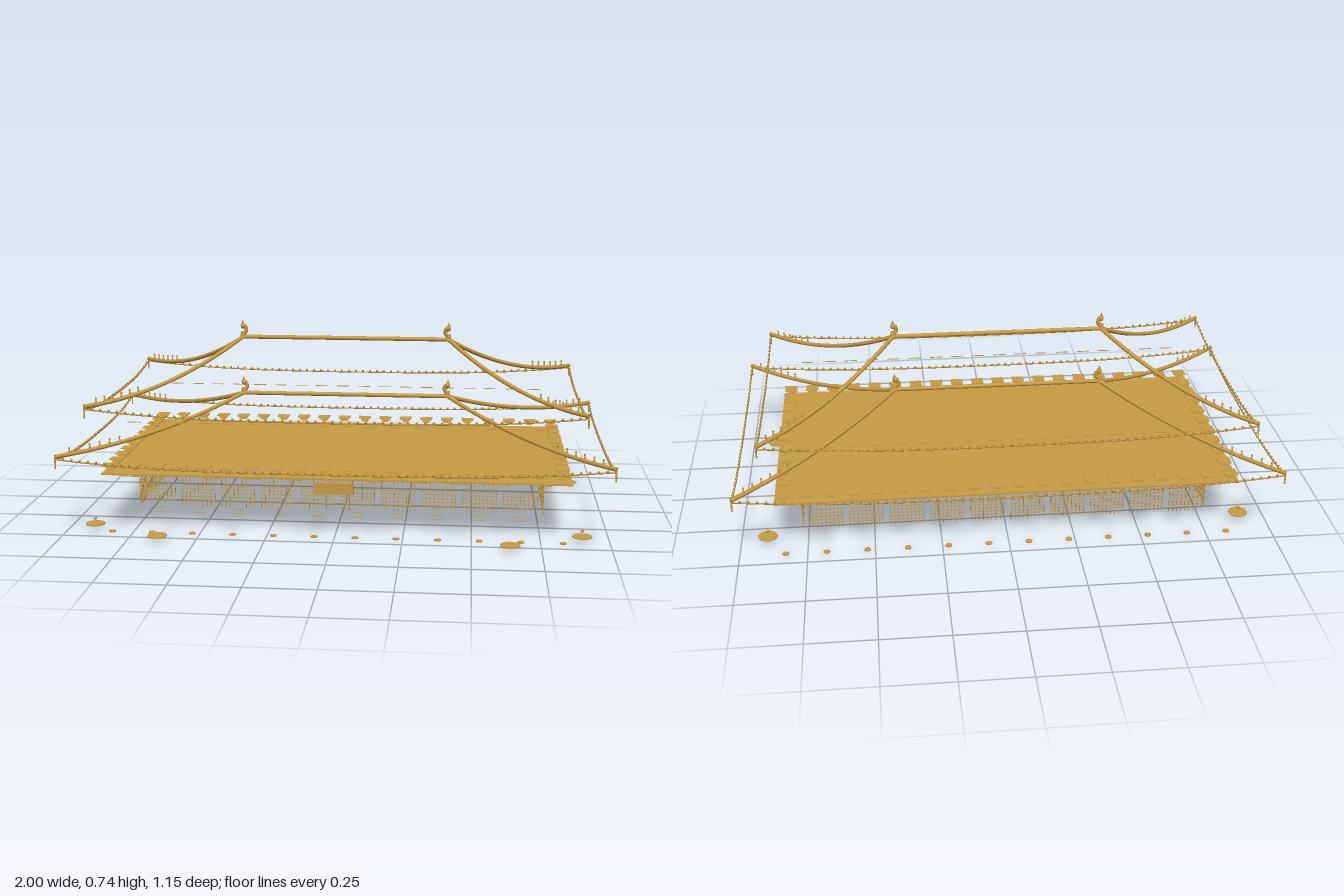
import * as THREE from 'three';

const gold = new THREE.MeshStandardMaterial({ color: 0xc89b45, side: THREE.DoubleSide });
gold.name = 'gilded trim';

const V = (x, y, z) => new THREE.Vector3(x, y, z);

function add(parent, name, geometry, x = 0, y = 0, z = 0) {
  const mesh = new THREE.Mesh(geometry, gold);
  mesh.name = name;
  mesh.position.set(x, y, z);
  parent.add(mesh);
  return mesh;
}

function addGroup(parent, name) {
  const group = new THREE.Group();
  group.name = name;
  parent.add(group);
  return group;
}

function tube(points, radius, segments = 32, sides = 8) {
  return new THREE.TubeGeometry(new THREE.CatmullRomCurve3(points), segments, radius, sides);
}

// Curled ridge ornament; side is +1 or -1
function ridgeFinial(parent, side, y) {
  const g = addGroup(parent, 'ridgeFinial');
  g.position.set(0.4 * side, y, 0);
  g.scale.x = side;
  add(g, 'finialBase', new THREE.CylinderGeometry(0.008, 0.012, 0.025, 10), 0, 0.008, 0);
  add(g, 'finialTail', tube([V(0.004, 0.005, 0), V(-0.012, 0.022, 0), V(-0.01, 0.04, 0), V(0.004, 0.05, 0)], 0.007, 14));
  add(g, 'finialHead', new THREE.SphereGeometry(0.011, 10, 8), -0.002, 0.042, 0);
  add(g, 'finialTip', new THREE.ConeGeometry(0.008, 0.02, 8), 0, 0.058, 0);
}

// Outline of one hipped roof: ridge, hips, figures, curved eaves and tile ends
function roofTrim(parent, name, { cx, cz, ridgeY, cornerY, eaveY }) {
  const roof = addGroup(parent, name);
  const ridge = add(roof, 'mainRidge', new THREE.CylinderGeometry(0.008, 0.008, 0.8, 10), 0, ridgeY, 0);
  ridge.rotation.z = Math.PI / 2;
  for (const s of [1, -1]) ridgeFinial(roof, s, ridgeY);

  const hipPoint = (t, sx, sz) =>
    V(sx * (0.4 + (cx - 0.4) * t), cornerY + (ridgeY - cornerY) * (1 - t) ** 2, sz * cz * t);

  const figure = new THREE.ConeGeometry(0.006, 0.02, 7);
  const head = new THREE.SphereGeometry(0.004, 7, 5);
  for (const sx of [1, -1]) for (const sz of [1, -1]) {
    const points = Array.from({ length: 11 }, (_, i) => hipPoint(i / 10, sx, sz));
    add(roof, 'hipRidge', tube(points, 0.008));
    for (let i = 0; i < 6; i++) {
      const p = hipPoint(0.68 + i * 0.05, sx, sz);
      add(roof, 'hipFigure', figure, p.x, p.y + 0.014, p.z);
      add(roof, 'hipFigureHead', head, p.x, p.y + 0.023, p.z);
    }
    add(roof, 'cornerPendant', new THREE.CylinderGeometry(0.003, 0.003, 0.045, 8),
      sx * cx, cornerY - 0.022, sz * cz);
  }

  // Eave edges sweep upward at both ends
  const tile = new THREE.SphereGeometry(0.005, 6, 4);
  const lift = cornerY - 0.01 - eaveY;
  for (const s of [1, -1]) for (const alongX of [true, false]) {
    const half = alongX ? cx : cz;
    const at = (t) => {
      const y = eaveY + lift * Math.abs(t) ** 3;
      return alongX ? V(half * t, y, s * cz) : V(s * cx, y, half * t);
    };
    const points = Array.from({ length: 21 }, (_, i) => at(i / 10 - 1));
    add(roof, 'eaveEdge', tube(points, 0.0028, 48, 6));
    const count = Math.round(half * 2 / 0.03);
    for (let i = 1; i < count; i++) {
      const p = at(2 * i / count - 1);
      add(roof, 'tileEnd', tile, p.x, p.y + 0.005, p.z);
    }
  }
}

// Grid of thin bars in the xy plane, centred on x
function lattice(parent, name, { width, y0, y1, h0, h1, columns, rows, bar = 0.0022 }) {
  const g = addGroup(parent, name);
  const upright = new THREE.BoxGeometry(bar, y1 - y0, bar);
  const rail = new THREE.BoxGeometry(width, bar, bar);
  for (let i = 0; i < columns; i++)
    add(g, 'upright', upright, width * (i / (columns - 1) - 0.5), (y0 + y1) / 2, 0);
  for (let i = 0; i < rows; i++)
    add(g, 'rail', rail, 0, h0 + (h1 - h0) * i / (rows - 1), 0);
  return g;
}

export function createModel() {
  const model = new THREE.Group();
  model.name = 'palaceHallTrim';

  roofTrim(model, 'upperRoof', { cx: 0.9, cz: 0.5, ridgeY: 0.67, cornerY: 0.487, eaveY: 0.443 });
  roofTrim(model, 'lowerRoof', { cx: 0.995, cz: 0.567, ridgeY: 0.447, cornerY: 0.315, eaveY: 0.27 });

  // Broad plate above the columns
  add(model, 'architravePlate', new THREE.BoxGeometry(1.715, 0.006, 0.925), 0, 0.226, 0);

  // Stepped bracket plates around the plate edge
  const brackets = addGroup(model, 'brackets');
  const steps = [[0.05, 0.258], [0.036, 0.25], [0.024, 0.243]]
    .map(([w, y]) => [new THREE.BoxGeometry(w, 0.002, w), y]);
  const bracket = (x, z) => {
    for (const [geometry, y] of steps) add(brackets, 'bracketStep', geometry, x, y, z);
  };
  for (const s of [1, -1]) {
    for (let i = 0; i < 20; i++) bracket(-0.826 + i * 0.087, s * 0.442);
    for (let i = 1; i < 10; i++) bracket(s * 0.826, -0.435 + i * 0.087);
  }

  // Dashes on the upper frieze and the beams
  const friezeDash = new THREE.BoxGeometry(0.05, 0.003, 0.002);
  const beamDash = new THREE.BoxGeometry(0.06, 0.003, 0.002);
  for (const s of [1, -1]) {
    for (let i = 0; i < 18; i++) add(model, 'friezeDash', friezeDash, -0.748 + i * 0.088, 0.405, s * 0.378);
    for (let i = 0; i < 11; i++) add(model, 'beamDash', beamDash, -0.755 + i * 0.151, 0.212, s * 0.43);
  }

  // Door and window lattices on the front and back walls
  for (let i = 0; i < 10; i++) {
    const x = -0.68 + i * 0.151;
    const end = i === 0 || i === 9;
    const front = lattice(model, end ? 'frontWindow' : 'frontDoor', {
      width: 0.125, y0: end ? 0.085 : 0.065, y1: end ? 0.15 : 0.188,
      h0: 0.09, h1: 0.148, columns: 9, rows: 5,
    });
    front.position.set(x, 0, 0.303);
    const back = lattice(model, 'backWindow', {
      width: 0.125, y0: 0.065, y1: 0.188, h0: 0.09, h1: 0.148, columns: 9, rows: 5,
    });
    back.position.set(x, 0, -0.377);
    for (const y of [0.04, 0.056])
      add(model, 'doorFootDash', new THREE.BoxGeometry(0.04, 0.002, 0.002), x, y, 0.303);
  }

  // Four square lattices on each side wall
  for (const s of [1, -1]) for (let i = 0; i < 4; i++) {
    const side = lattice(model, 'sideWindow', {
      width: 0.125, y0: 0.049, y1: 0.187, h0: 0.058, h1: 0.182, columns: 8, rows: 9,
    });
    side.rotation.y = Math.PI / 2;
    side.position.set(s * 0.767, 0, -0.263 + i * 0.15);
  }

  // Plaque over the entrance
  add(model, 'plaque', new THREE.BoxGeometry(0.148, 0.042, 0.009), 0, 0.194, 0.468);

  // Column base discs
  const baseDisc = new THREE.CylinderGeometry(0.0125, 0.0125, 0.004, 16);
  for (const s of [1, -1])
    for (let i = 0; i < 12; i++) add(model, 'columnBase', baseDisc, -0.83 + i * 0.151, 0.002, s * 0.438);

  // Large discs: knobbed ones at the sides, plain ones in front
  const disc = new THREE.CylinderGeometry(0.036, 0.036, 0.003, 28);
  const knob = new THREE.SphereGeometry(0.006, 10, 8);
  for (const s of [1, -1]) {
    for (const z of [0.413, -0.34]) {
      add(model, 'vesselDisc', disc, s * 0.9, 0.022, z);
      add(model, 'vesselKnob', knob, s * 0.9, 0.043, z);
    }
    add(model, 'frontDisc', disc, s * 0.638, 0.02, 0.532);
  }
  return model;
}
